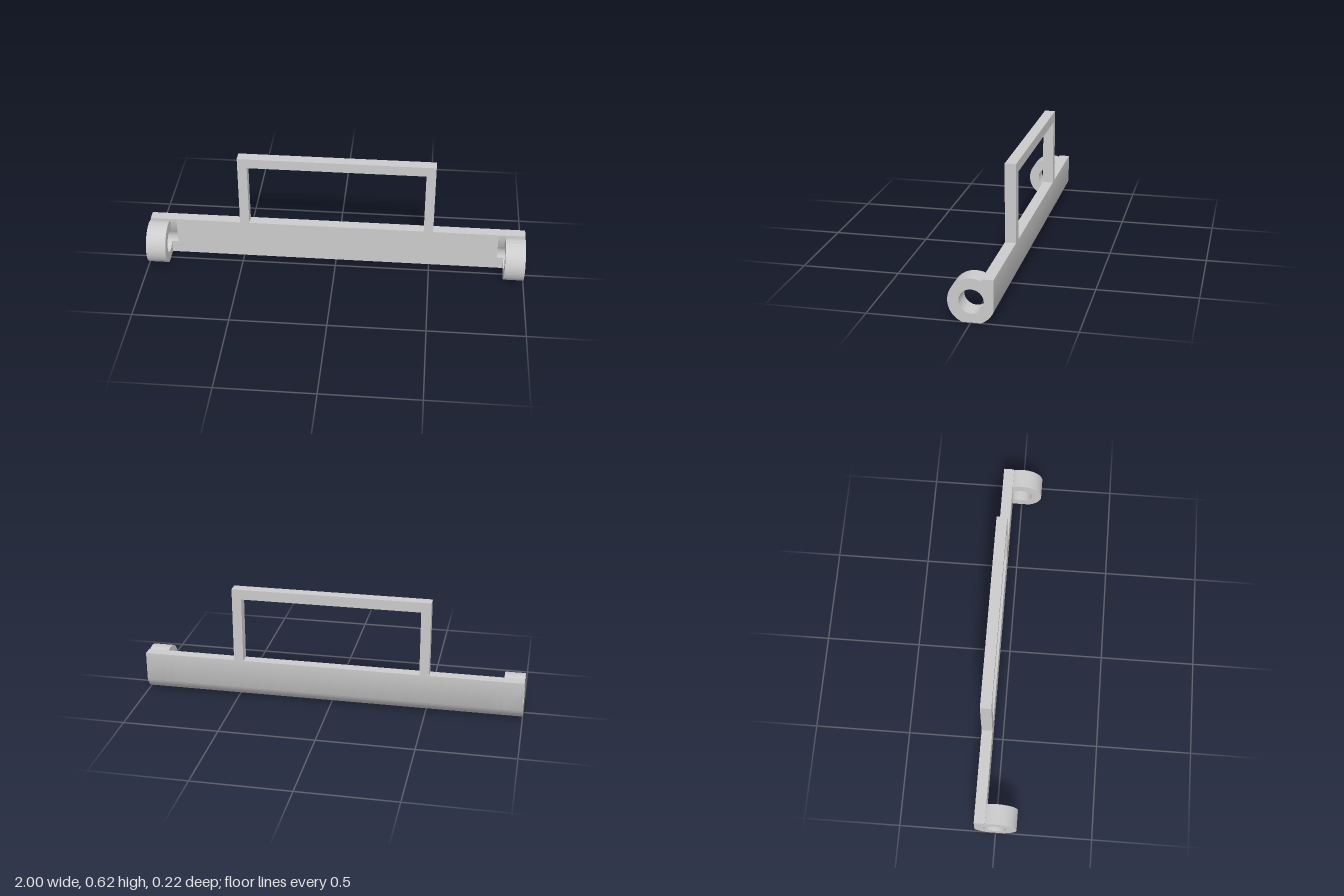
import * as THREE from 'three';
import { toCreasedNormals } from 'three/addons/utils/BufferGeometryUtils.js';

// Cross-section dimensions: u points to the back (-z), v points up
const FRONT = 0.052, BACK = 0.108, TOP = 0.216;
const CU = 0.0035, CV = 0.1035, R = 0.1125, HOLE = 0.059;
const FRAME_TOP = 0.616;

// Angles where the outer circle meets the plate and the flat base
const backAngle = -Math.acos((BACK - CU) / R);
const frontAngle = Math.acos((FRONT - CU) / R);
const baseAngle = -Math.acos(-CV / R) + Math.PI / 2;

// Plate with its lower back corner following the ring's circle
function plateShape(notched) {
  const s = new THREE.Shape();
  s.moveTo(CU + R * Math.cos(frontAngle), CV - R * Math.sin(frontAngle));
  s.absarc(CU, CV, R, -frontAngle, backAngle, false);
  s.lineTo(BACK, TOP);
  s.lineTo(FRONT, TOP);
  if (notched) {
    const a = Math.acos((FRONT - CU) / HOLE);
    s.lineTo(FRONT, CV + HOLE * Math.sin(a));
    s.absarc(CU, CV, HOLE, a, -a, true);
  }
  s.closePath();
  return s;
}

// Ring merged with the plate, flat at the bottom, with a through hole
function ringShape() {
  const half = Math.sqrt(R * R - CV * CV);
  const start = Math.atan2(-CV, half);
  const s = new THREE.Shape();
  s.moveTo(CU + half, 0);
  s.absarc(CU, CV, R, start, backAngle, false);
  s.lineTo(BACK, TOP);
  s.lineTo(FRONT, TOP);
  s.absarc(CU, CV, R, frontAngle, Math.PI - start, false);
  s.closePath();
  const hole = new THREE.Path();
  hole.absarc(CU, CV, HOLE, 0, Math.PI * 2, true);
  s.holes.push(hole);
  return s;
}

function extrude(shape, depth) {
  const g = new THREE.ExtrudeGeometry(shape, { depth, bevelEnabled: false, curveSegments: 48 });
  return toCreasedNormals(g, Math.PI / 6);
}

// Extrudes a cross-section along x
function alongX(shape, x0, x1) {
  return extrude(shape, x1 - x0).rotateY(Math.PI / 2).translate(x0, 0, 0);
}

export function createModel() {
  const group = new THREE.Group();
  const material = new THREE.MeshStandardMaterial({ color: 0xcccccc });
  const add = (name, geometry) => {
    const mesh = new THREE.Mesh(geometry, material);
    mesh.name = name;
    group.add(mesh);
  };

  add('plate', alongX(plateShape(false), -0.86, 0.86));

  // Hinge rings at both ends, with the bore running a little into the plate
  for (const [side, sign] of [['left', 1], ['right', -1]]) {
    const span = (a, b) => (sign > 0 ? [a, b] : [-b, -a]);
    add(side + 'BoreNotch', alongX(plateShape(true), ...span(0.86, 0.895)));
    add(side + 'HingeRing', alongX(ringShape(), ...span(0.895, 1)));
  }

  // Rectangular handle frame standing on the plate
  const frame = new THREE.Shape([
    [-0.515, TOP], [-0.465, TOP], [-0.465, 0.563], [0.465, 0.563],
    [0.465, TOP], [0.515, TOP], [0.515, FRAME_TOP], [-0.515, FRAME_TOP],
  ].map(([x, y]) => new THREE.Vector2(x, y)));
  add('handleFrame', extrude(frame, BACK - FRONT).translate(0, 0, -BACK));

  return group;
}
